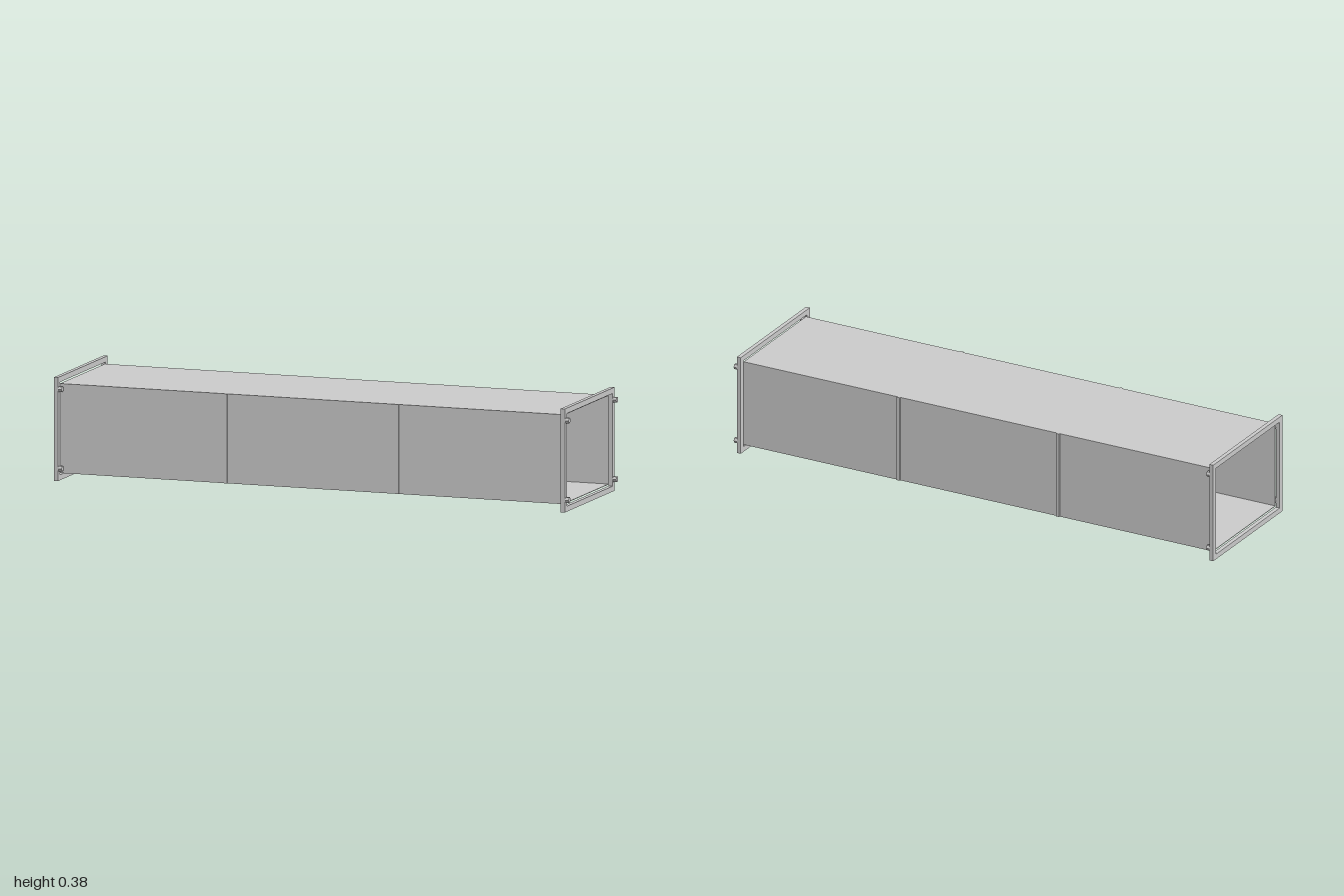
import * as THREE from 'three';

const MID_Y = 0.191; // height of the duct axis

// Rectangular tube running along +x from x0, centred on the duct axis
function frame(name, x0, length, outerW, outerH, innerW, innerH, material) {
  const rect = (target, w, h) => target
    .moveTo(-w / 2, -h / 2).lineTo(w / 2, -h / 2)
    .lineTo(w / 2, h / 2).lineTo(-w / 2, h / 2).closePath();
  const shape = rect(new THREE.Shape(), outerW, outerH);
  shape.holes.push(rect(new THREE.Path(), innerW, innerH));
  const geometry = new THREE.ExtrudeGeometry(shape, { depth: length, bevelEnabled: false });
  geometry.rotateY(Math.PI / 2);
  const mesh = new THREE.Mesh(geometry, material);
  mesh.name = name;
  mesh.position.set(x0, MID_Y, 0);
  return mesh;
}

export function createModel() {
  const model = new THREE.Group();
  model.name = 'duct';
  const metal = new THREE.MeshStandardMaterial({ color: 0xcccccc, flatShading: true });

  // Thin sheet-metal shell, open at both ends
  model.add(frame('ductShell', -0.985, 1.957, 0.464, 0.33, 0.46, 0.326, metal));

  // Narrow vertical seams on both side walls
  for (const x of [-0.34, 0.325]) {
    for (const side of [-1, 1]) {
      const seam = new THREE.Mesh(new THREE.BoxGeometry(0.012, 0.33, 0.005), metal);
      seam.name = 'sideSeam';
      seam.position.set(x, MID_Y, side * 0.2345);
      model.add(seam);
    }
  }

  // End flanges, each with four hexagonal bolt heads facing +x
  const flangeDepth = 0.016, boltDepth = 0.014;
  for (const [name, x] of [['rightFlange', -1], ['leftFlange', 0.97]]) {
    model.add(frame(name, x, flangeDepth, 0.515, 0.382, 0.474, 0.342, metal));
    for (const y of [0.045, 0.338]) {
      for (const z of [-0.246, 0.246]) {
        const bolt = new THREE.Mesh(
          new THREE.CylinderGeometry(0.011, 0.011, boltDepth, 6).rotateZ(-Math.PI / 2), metal);
        bolt.name = 'boltHead';
        bolt.position.set(x + flangeDepth + boltDepth / 2, y, z);
        model.add(bolt);
      }
    }
  }
  return model;
}
